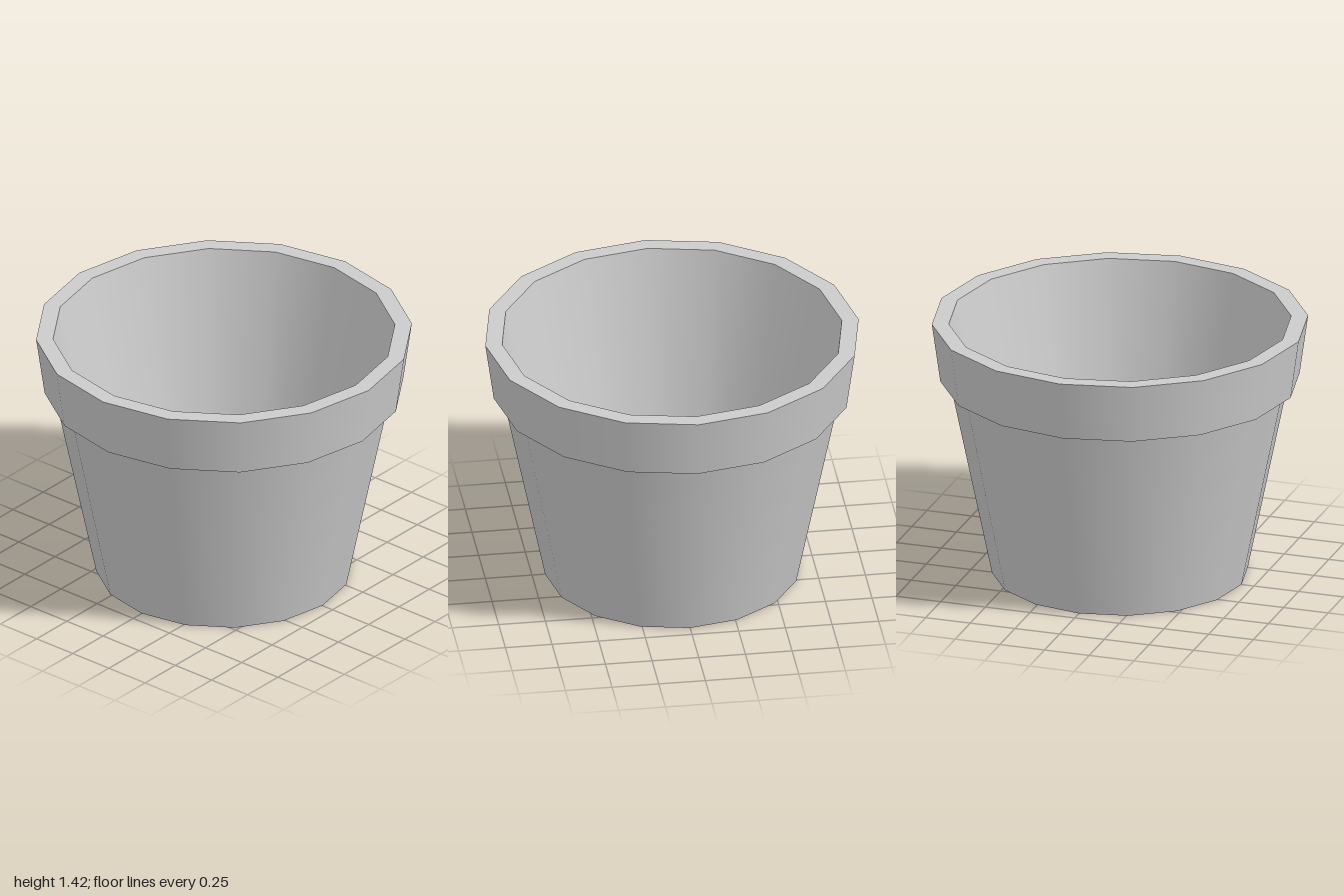
import * as THREE from 'three';
import { mergeGeometries } from 'three/addons/utils/BufferGeometryUtils.js';

const SIDES = 16;

// Revolves each profile segment on its own, so bands are smooth around and sharp at their edges
function revolve(name, profile, material) {
  const bands = [];
  for (let i = 0; i < profile.length - 1; i++) {
    const ends = [profile[i], profile[i + 1]].map(([r, y]) => new THREE.Vector2(r, y));
    bands.push(new THREE.LatheGeometry(ends, SIDES));
  }
  const mesh = new THREE.Mesh(mergeGeometries(bands), material);
  mesh.name = name;
  return mesh;
}

export function createModel() {
  const group = new THREE.Group();
  group.name = 'flowerPot';
  const material = new THREE.MeshStandardMaterial({ color: 0xcccccc });

  // Base and tapered outer wall
  group.add(revolve('body', [[0, 0], [0.68, 0], [0.905, 1.095]], material));

  // Overhanging collar: underside, flared face, flat top edge
  group.add(revolve('rim', [[0.905, 1.095], [0.955, 1.095], [1, 1.42], [0.91, 1.42]], material));

  // Hollow inside: wall going down, then the floor
  group.add(revolve('interior', [[0.91, 1.42], [0.605, 0.05], [0, 0.05]], material));

  return group;
}
